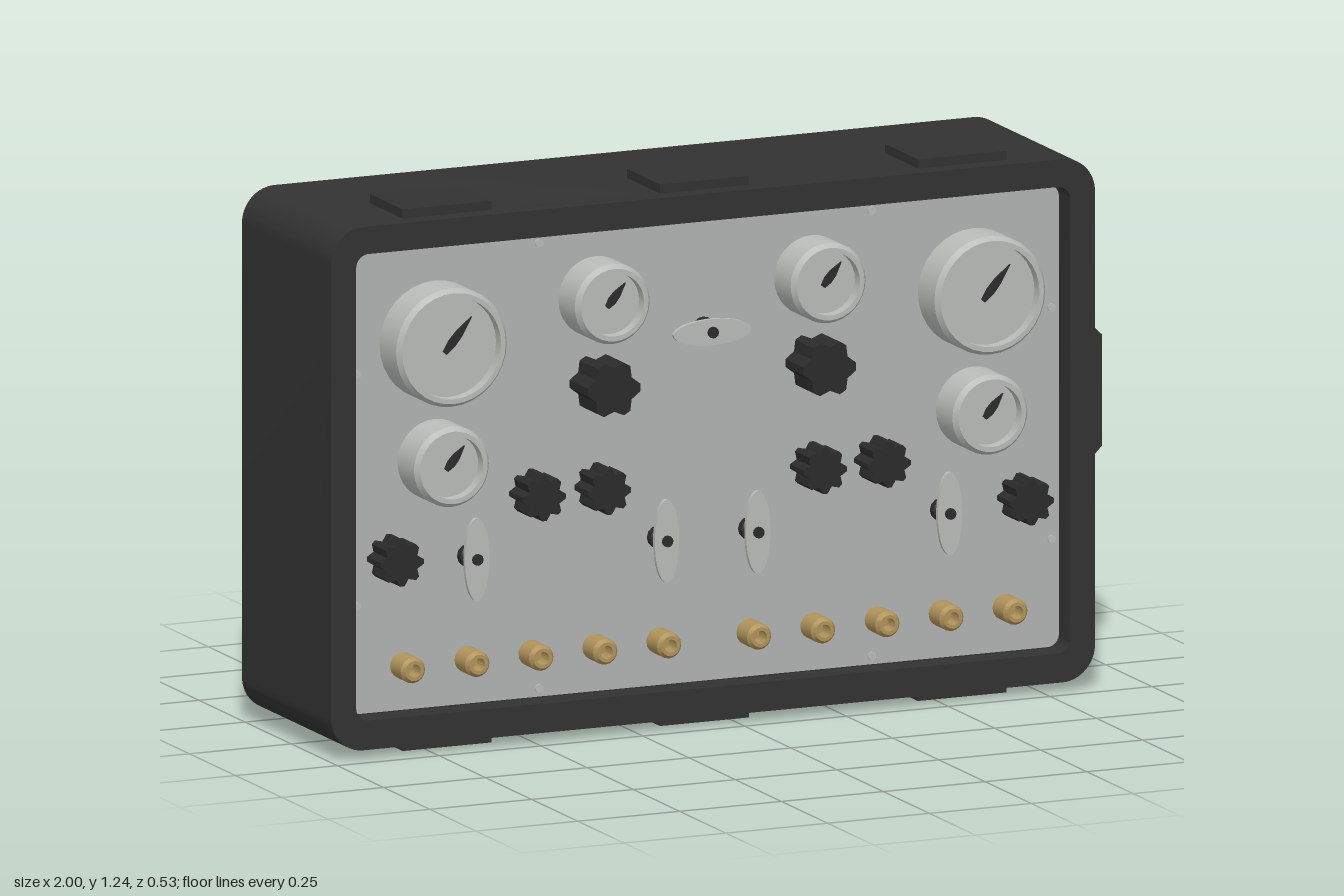
import * as THREE from 'three';
import { toCreasedNormals } from 'three/addons/utils/BufferGeometryUtils.js';

const mat = (name, color, side = THREE.FrontSide) => {
  const m = new THREE.MeshStandardMaterial({ color, side });
  m.name = name;
  return m;
};

// Rounded rectangle outline from its edges
function roundRect(path, x0, y0, x1, y1, r) {
  path.moveTo(x0 + r, y0);
  path.lineTo(x1 - r, y0);
  path.absarc(x1 - r, y0 + r, r, -Math.PI / 2, 0);
  path.lineTo(x1, y1 - r);
  path.absarc(x1 - r, y1 - r, r, 0, Math.PI / 2);
  path.lineTo(x0 + r, y1);
  path.absarc(x0 + r, y1 - r, r, Math.PI / 2, Math.PI);
  path.lineTo(x0, y0 + r);
  path.absarc(x0 + r, y0 + r, r, Math.PI, Math.PI * 1.5);
  return path;
}

// Outline with clipped right-hand corners
function clipped(path, x0, y0, x1, y1, c) {
  return path.setFromPoints([[x0, y0], [x1 - c, y0], [x1, y0 + c], [x1, y1 - c], [x1 - c, y1], [x0, y1]]
    .map(([x, y]) => new THREE.Vector2(x, y)));
}

// Prism along z between two depths
const prism = (shape, z0, z1, seg = 8) => toCreasedNormals(
  new THREE.ExtrudeGeometry(shape, { depth: z1 - z0, bevelEnabled: false, curveSegments: seg })
    .translate(0, 0, z0), 0.6);

// Turned part whose axis points to +z; profile given as [radius, z]
const turned = (profile, seg) => toCreasedNormals(
  new THREE.LatheGeometry(profile.map(([r, z]) => new THREE.Vector2(r, z)), seg)
    .rotateX(Math.PI / 2), 0.5);

const PANEL = 0.165;

export function createModel() {
  const model = new THREE.Group();
  const caseMat = mat('case black', 0x323232);
  const panelMat = mat('panel grey', 0xb0b3b1);
  const metalMat = mat('light metal', 0xb9bcb9, THREE.DoubleSide);
  const knobMat = mat('knob black', 0x2b2b2b);
  const brassMat = mat('brass', 0xb0935a, THREE.DoubleSide);

  const add = (name, geo, material, x = 0, y = 0, z = 0, parent = model) => {
    const m = new THREE.Mesh(geo, material);
    m.name = name;
    m.position.set(x, y, z);
    parent.add(m);
    return m;
  };

  // Case body and raised front rim
  const outline = () => roundRect(new THREE.Shape(), -1, 0.021, 0.876, 1.219, 0.08);
  const rim = outline();
  rim.holes.push(roundRect(new THREE.Path(), -0.938, 0.088, 0.815, 1.156, 0.03));
  add('caseBody', prism(outline(), -0.267, 0.155), caseMat);
  add('caseRim', prism(rim, 0.155, 0.215), caseMat);
  add('panel', prism(roundRect(new THREE.Shape(), -0.933, 0.093, 0.81, 1.151, 0.028), 0.15, PANEL), panelMat);

  // Latch pads on top and bottom
  for (const x of [-0.695, -0.063, 0.57])
    for (const y of [0.02, 1.22])
      add('latchPad', new THREE.BoxGeometry(0.218, 0.04, 0.178), caseMat, x, y, 0.082);

  // Carrying handle
  const grip = clipped(new THREE.Shape(), 0.87, 0.465, 1, 0.785, 0.033);
  grip.holes.push(clipped(new THREE.Path(), 0.905, 0.503, 0.968, 0.747, 0.014));
  add('handle', prism(grip, -0.115, -0.02), caseMat);

  // Gauges with recessed dials and tapered needles
  for (const [x, y, r] of [
    [-0.722, 0.933, 0.136], [0.6, 0.933, 0.136], [-0.327, 0.997, 0.092],
    [0.203, 0.997, 0.092], [-0.722, 0.66, 0.092], [0.6, 0.66, 0.092],
  ]) {
    const gauge = new THREE.Group();
    gauge.name = 'gauge';
    gauge.position.set(x, y, 0);
    model.add(gauge);
    add('gaugeBody', turned([[r, PANEL], [r, 0.254], [r - 0.009, 0.268], [r - 0.02, 0.268],
      [r - 0.02, 0.24]], 32), metalMat, 0, 0, 0, gauge);
    add('gaugeDial', new THREE.CircleGeometry(r - 0.019, 32), metalMat, 0, 0, 0.24, gauge);
    const n = r * 0.62;
    const needle = new THREE.Shape([[-n * 0.22, -0.005], [n * 0.1, -0.01], [n * 0.45, -0.009],
      [n, 0], [n * 0.45, 0.009], [n * 0.1, 0.01], [-n * 0.22, 0.005]]
      .map(([a, b]) => new THREE.Vector2(a, b)));
    add('needle', prism(needle, 0.241, 0.247), knobMat, 0, 0, 0, gauge).rotation.z = 0.87;
  }

  // Lobed control knobs
  const star = (n, r, inner) => {
    const pts = [];
    for (let i = 0; i < n; i++) {
      for (const [t, q] of [[-0.13, r], [0.13, r], [0.5, inner]]) {
        const a = ((i + t) / n) * Math.PI * 2;
        pts.push(new THREE.Vector2(Math.cos(a) * q, Math.sin(a) * q));
      }
    }
    return new THREE.Shape(pts);
  };
  const bigKnob = prism(star(6, 0.065, 0.05), PANEL, 0.264);
  const smallKnob = prism(star(8, 0.053, 0.04), PANEL, 0.24);
  for (const x of [-0.327, 0.203]) add('largeKnob', bigKnob, knobMat, x, 0.802);
  for (const [x, y] of [[-0.487, 0.564], [-0.327, 0.564], [0.203, 0.564], [0.36, 0.564],
    [-0.836, 0.446], [0.711, 0.446]]) add('smallKnob', smallKnob, knobMat, x, y);

  // Oval valve levers on dark stems
  const oval = prism(new THREE.Shape().absellipse(0, 0, 0.03, 0.095, 0, Math.PI * 2), 0.208, 0.218, 16);
  const stem = turned([[0.026, PANEL], [0.026, 0.185], [0.013, 0.192], [0.013, 0.224], [0, 0.224]], 12);
  for (const [x, y, turn] of [[-0.064, 0.901, Math.PI / 2], [-0.642, 0.433, 0], [-0.176, 0.433, 0],
    [0.048, 0.433, 0], [0.519, 0.433, 0]]) {
    add('valveLever', oval, metalMat, x, y).rotation.z = turn;
    add('valveStem', stem, knobMat, x, y);
  }

  // Row of brass ports with bored centres
  const port = turned([[0.03, PANEL], [0.03, 0.222], [0.023, 0.232], [0.015, 0.232],
    [0.015, 0.19], [0, 0.19]], 16);
  for (const x of [-0.802, -0.644, -0.487, -0.33, -0.173, 0.048, 0.205, 0.363, 0.52, 0.677])
    add('brassPort', port, brassMat, x, 0.195);

  // Panel screws
  const screw = turned([[0.01, PANEL], [0.01, 0.169], [0, 0.17]], 10);
  for (const x of [-0.467, 0.35]) for (const y of [0.112, 1.132]) add('screw', screw, metalMat, x, y);
  for (const x of [-0.915, 0.792]) for (const y of [0.34, 0.87]) add('screw', screw, metalMat, x, y);

  return model;
}
